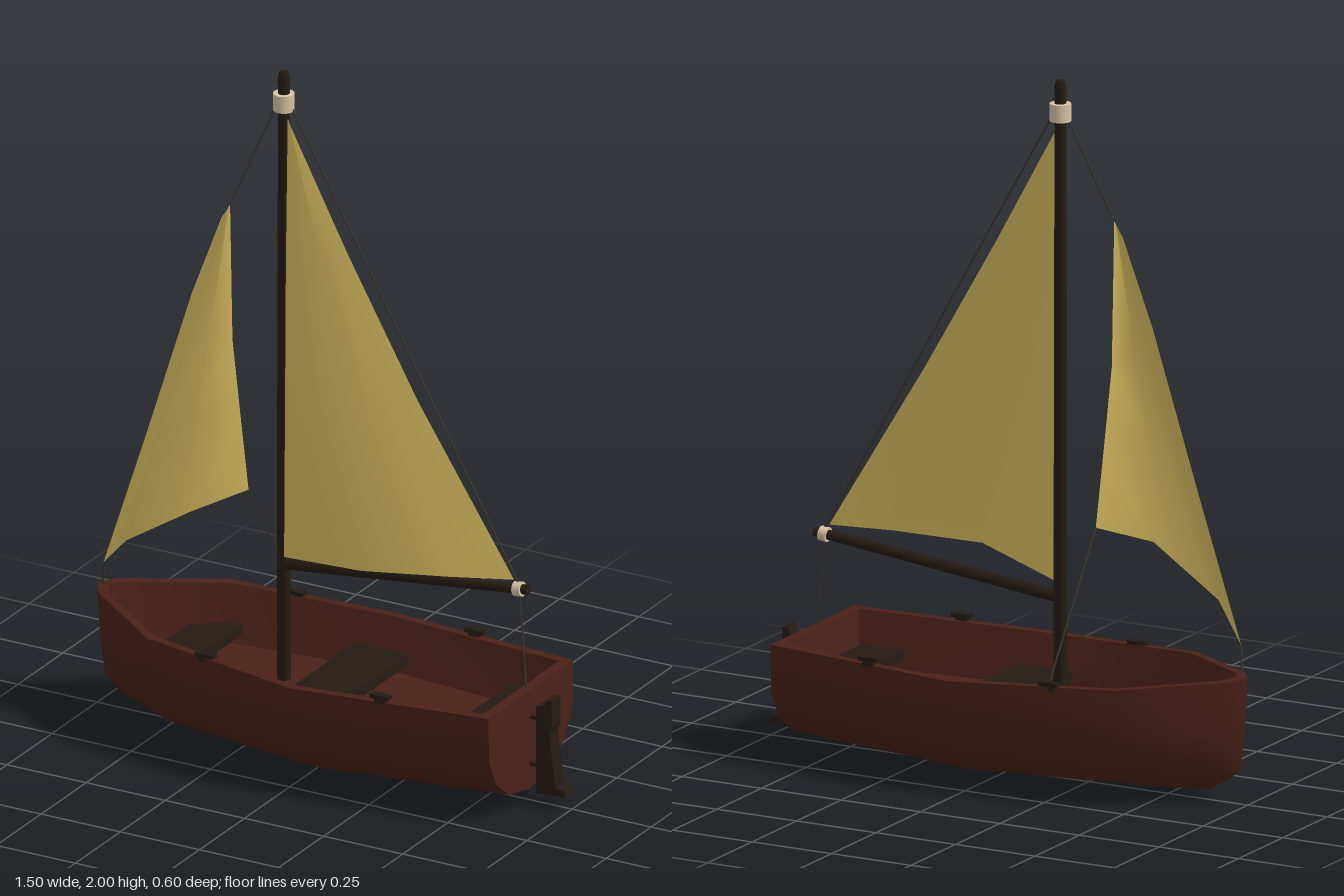
import * as THREE from 'three';
import { toCreasedNormals } from 'three/addons/utils/BufferGeometryUtils.js';

const mat = (color, side = THREE.FrontSide) => new THREE.MeshStandardMaterial({ color, side });
const V = (p) => new THREE.Vector3(...p);

// Skin a grid of points: rows of equal length, joined by quads
function loft(rows, flip = false) {
  const n = rows[0].length;
  const index = [];
  for (let i = 0; i < rows.length - 1; i++) {
    for (let j = 0; j < n - 1; j++) {
      const a = i * n + j, b = a + n, c = b + 1, d = a + 1;
      if (flip) index.push(a, c, b, a, d, c);
      else index.push(a, b, c, a, c, d);
    }
  }
  const g = new THREE.BufferGeometry();
  g.setAttribute('position', new THREE.Float32BufferAttribute(rows.flat(2), 3));
  g.setIndex(index);
  g.computeVertexNormals();
  return g;
}

export function createModel() {
  const boat = new THREE.Group();
  boat.name = 'sailboat';
  const hullMat = mat(0x4a2218);
  const woodMat = mat(0x241b13);
  const sailMat = mat(0xdcc062, THREE.DoubleSide);
  const bandMat = mat(0xd8c4a4);
  const ropeMat = mat(0x3a352e);

  const add = (name, geometry, material, parent = boat) => {
    const m = new THREE.Mesh(geometry, material);
    m.name = name;
    parent.add(m);
    return m;
  };

  // Round bar between two points
  const bar = (name, from, to, r0, r1, material, sides = 12) => {
    const a = V(from), b = V(to), dir = b.clone().sub(a);
    const m = add(name, new THREE.CylinderGeometry(r1, r0, dir.length(), sides), material);
    m.position.copy(a).add(b).multiplyScalar(0.5);
    m.quaternion.setFromUnitVectors(new THREE.Vector3(0, 1, 0), dir.normalize());
    return m;
  };

  // Hull half-sections from bow to stern:
  // keel, low, bilge, topside, gunwale, inner rim, floor edge, floor centre
  const stations = [
    [[-0.63, 0.035, 0], [-0.69, 0.07, 0], [-0.725, 0.1, 0], [-0.742, 0.22, 0],
      [-0.75, 0.365, 0], [-0.71, 0.365, 0], [-0.69, 0.19, 0], [-0.69, 0.19, 0]],
    [[-0.63, 0.035, 0], [-0.665, 0.07, 0.03], [-0.69, 0.11, 0.04], [-0.705, 0.21, 0.05],
      [-0.71, 0.362, 0.06], [-0.69, 0.362, 0.045], [-0.67, 0.19, 0.03], [-0.67, 0.19, 0]],
    [[-0.46, 0.02, 0], [-0.46, 0.055, 0.115], [-0.46, 0.115, 0.18], [-0.46, 0.2, 0.22],
      [-0.46, 0.347, 0.235], [-0.45, 0.347, 0.212], [-0.43, 0.185, 0.175], [-0.43, 0.185, 0]],
    [[0.03, 0.005, 0], [0.03, 0.047, 0.18], [0.03, 0.115, 0.255], [0.03, 0.2, 0.295],
      [0.03, 0.325, 0.3], [0.03, 0.325, 0.275], [0.03, 0.185, 0.225], [0.03, 0.185, 0]],
    [[0.62, 0.04, 0], [0.62, 0.065, 0.12], [0.62, 0.12, 0.19], [0.62, 0.2, 0.232],
      [0.62, 0.335, 0.235], [0.59, 0.335, 0.21], [0.575, 0.185, 0.18], [0.575, 0.185, 0]],
  ];
  // Fold the last section onto the centre line to close the transom
  stations.push(stations[4].map(([x, y]) => [x, y, 0]));
  for (const s of [1, -1]) {
    const rows = stations.map((st) => st.map(([x, y, z]) => [x, y, z * s]));
    add(s > 0 ? 'hullLeft' : 'hullRight', toCreasedNormals(loft(rows, s < 0), 0.75), hullMat);
  }

  // Thwarts that follow the taper of the hull
  const seats = [[-0.53, -0.4, 0.16, 0.195], [-0.07, 0.1, 0.235, 0.235], [0.445, 0.575, 0.205, 0.192]];
  for (const [x0, x1, w0, w1] of seats) {
    const shape = new THREE.Shape([[x0, -w0], [x1, -w1], [x1, w1], [x0, w0]].map((p) => new THREE.Vector2(...p)));
    const g = new THREE.ExtrudeGeometry(shape, { depth: 0.03, bevelEnabled: false });
    add('seat', g.rotateX(Math.PI / 2), woodMat).position.y = 0.24;
  }

  // Rope cleats on the gunwales
  for (const [x, z] of [[-0.265, 0.25], [0.295, 0.262]]) {
    for (const s of [1, -1]) {
      const cleat = new THREE.Group();
      cleat.name = 'cleat';
      add('cleatBase', new THREE.BoxGeometry(0.035, 0.02, 0.02), woodMat, cleat);
      add('cleatBar', new THREE.BoxGeometry(0.058, 0.012, 0.024), woodMat, cleat).position.y = 0.01;
      cleat.position.set(x, 0.334, z * s);
      boat.add(cleat);
    }
  }

  // Rudder blade with its two hinge pins
  const outline = [[0.65, 0.042], [0.745, 0.045], [0.738, 0.065], [0.712, 0.07], [0.692, 0.22],
    [0.7, 0.25], [0.7, 0.325], [0.685, 0.325], [0.675, 0.305], [0.65, 0.3]];
  const blade = new THREE.ExtrudeGeometry(
    new THREE.Shape(outline.map((p) => new THREE.Vector2(...p))), { depth: 0.05, bevelEnabled: false });
  add('rudder', blade.translate(0, 0, -0.025), woodMat);
  for (const y of [0.115, 0.255]) bar('rudderPin', [0.61, y, 0], [0.66, y, 0], 0.007, 0.007, woodMat, 8);

  // Mast with rounded tip and band
  const mx = -0.18, mz = -0.035;
  const mast = [[0, 0.18], [0.019, 0.18], [0.018, 1.2], [0.016, 1.9], [0.017, 1.98], [0.012, 2], [0, 2]];
  add('mast', toCreasedNormals(
    new THREE.LatheGeometry(mast.map((p) => new THREE.Vector2(...p)), 12), 0.7), woodMat).position.set(mx, 0, mz);
  bar('mastBand', [mx, 1.885, mz], [mx, 1.935, mz], 0.03, 0.03, bandMat, 16);

  // Boom and its end band
  bar('boom', [mx, 0.53, mz], [0.592, 0.614, mz], 0.018, 0.014, woodMat);
  bar('boomBand', [0.55, 0.609, mz], [0.574, 0.612, mz], 0.021, 0.021, bandMat);

  // Sails: rows run from foot to head, points from luff to leech
  add('mainSail', loft([
    [[-0.165, 0.56, -0.01], [0.13, 0.615, 0.08], [0.38, 0.63, 0.025], [0.55, 0.637, -0.03]],
    [[-0.165, 1.0, -0.015], [-0.03, 1.04, 0.055], [0.13, 1.08, 0.04], [0.264, 1.12, 0]],
    [[-0.165, 1.45, -0.02], [-0.11, 1.47, 0.01], [-0.04, 1.49, 0.01], [0.035, 1.51, -0.01]],
    [[-0.165, 1.86, -0.03], [-0.164, 1.86, -0.03], [-0.162, 1.86, -0.03], [-0.16, 1.85, -0.03]],
  ], true), sailMat);
  add('jib', loft([
    [[-0.71, 0.445, 0.035], [-0.61, 0.55, 0.085], [-0.4, 0.685, 0.094], [-0.28, 0.735, -0.015]],
    [[-0.57, 0.87, 0.037], [-0.5, 0.9, 0.09], [-0.385, 0.98, 0.1], [-0.296, 0.95, 0]],
    [[-0.43, 1.31, 0.037], [-0.4, 1.28, 0.065], [-0.35, 1.25, 0.068], [-0.311, 1.19, 0.02]],
    [[-0.335, 1.56, 0.036], [-0.327, 1.57, 0.037], [-0.318, 1.585, 0.037], [-0.31, 1.6, 0.035]],
  ], true), sailMat);

  // Rigging lines
  const ropes = {
    forestay: [[-0.2, 1.9, mz], [-0.31, 1.6, 0.035]],
    jibTackLine: [[-0.71, 0.445, 0.035], [-0.732, 0.36, 0]],
    jibSheet: [[-0.28, 0.735, -0.015], [-0.265, 0.345, -0.25]],
    toppingLift: [[-0.157, 1.9, mz], [0.562, 0.625, mz]],
    mainSheet: [[0.565, 0.6, mz], [0.606, 0.335, 0]],
  };
  for (const [name, [a, b]] of Object.entries(ropes)) bar(name, a, b, 0.003, 0.003, ropeMat, 6);

  return boat;
}
